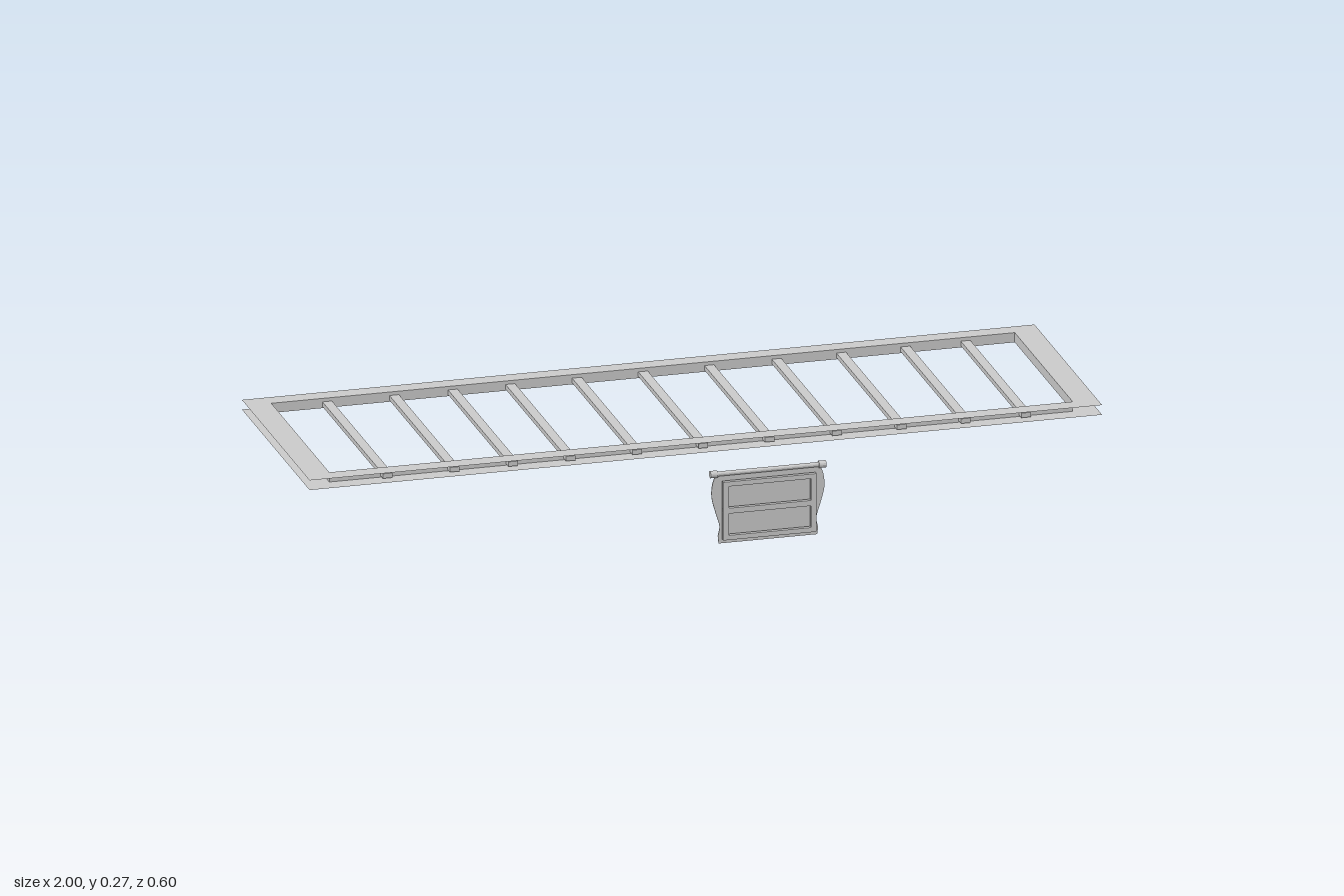
import * as THREE from 'three';

const grey = new THREE.MeshStandardMaterial({ color: 0xcccccc, flatShading: true, side: THREE.DoubleSide });

const part = (parent, name, geometry, x = 0, y = 0, z = 0) => {
  const mesh = new THREE.Mesh(geometry, grey);
  mesh.name = name;
  mesh.position.set(x, y, z);
  parent.add(mesh);
  return mesh;
};
const box = (parent, name, w, h, d, x, y, z) => part(parent, name, new THREE.BoxGeometry(w, h, d), x, y, z);

// Rectangle centred on the origin, as a shape or a hole
const rect = (Type, hx, hy) => new Type([[-hx, -hy], [hx, -hy], [hx, hy], [-hx, hy]].map(p => new THREE.Vector2(...p)));

function buildLadderFrame() {
  const frame = new THREE.Group();
  frame.name = 'ladderFrame';
  const top = 0.277, bottom = 0.252, hx = 0.938, hz = 0.259;

  // Thin flanges above and below
  for (const [name, y] of [['upperFlange', top], ['lowerFlange', bottom]]) {
    const shape = rect(THREE.Shape, 1, 0.302);
    shape.holes.push(rect(THREE.Path, hx, hz));
    part(frame, name, new THREE.ShapeGeometry(shape).rotateX(-Math.PI / 2), 0, y, 0);
  }

  // Upright web joining the flanges along the opening
  const h = top - bottom, mid = (top + bottom) / 2;
  for (const s of [-1, 1]) {
    part(frame, 'sideWeb', new THREE.PlaneGeometry(2 * hx, h).rotateY(s > 0 ? 0 : Math.PI), 0, mid, s * hz);
    part(frame, 'endWeb', new THREE.PlaneGeometry(2 * hz, h).rotateY(s * Math.PI / 2), s * hx, mid, 0);
  }

  // Rungs, their ends passing through the webs
  for (const x of [-0.797, -0.628, -0.48, -0.335, -0.167, 0, 0.167, 0.337, 0.5, 0.662, 0.814])
    box(frame, 'rung', 0.024, 0.012, 0.562, x, 0.262, 0);
  return frame;
}

function buildHangingPanel() {
  const panel = new THREE.Group();
  panel.name = 'hangingPanel';
  const cx = 0.163;
  panel.position.x = cx;

  // Rod with end knobs
  const rod = (name, r, len, x) =>
    part(panel, name, new THREE.CylinderGeometry(r, r, len, 12).rotateZ(Math.PI / 2), x, 0.185, 0.279);
  rod('hangingRod', 0.006, 0.28, 0);
  for (const s of [-1, 1]) rod('rodKnob', 0.009, 0.018, s * 0.137);

  // Backing sheet with bulging, waisted sides
  const side = new THREE.SplineCurve([
    [0.124, 0.006], [0.126, 0.025], [0.122, 0.05], [0.132, 0.085], [0.142, 0.125], [0.14, 0.16], [0.13, 0.185],
  ].map(p => new THREE.Vector2(...p))).getPoints(24);
  const outline = [...side, ...side.map(p => new THREE.Vector2(-p.x, p.y)).reverse()];
  const sheet = new THREE.ExtrudeGeometry(new THREE.Shape(outline), { depth: 0.003, bevelEnabled: false });
  part(panel, 'backingSheet', sheet, 0, 0, 0.2775);

  // Window frame in front of the sheet
  const z = 0.293, depth = 0.0105, halfW = 0.118, post = 0.014;
  for (const s of [-1, 1]) {
    // Posts are pierced where the hollow middle rail meets them
    const profile = rect(THREE.Shape, depth / 2, 0.075);
    profile.holes.push(rect(THREE.Path, 0.0025, 0.0045));
    const g = new THREE.ExtrudeGeometry(profile, { depth: post, bevelEnabled: false });
    g.translate(0, 0, -post / 2).rotateY(Math.PI / 2);
    part(panel, 'framePost', g, s * (halfW - post / 2), 0.094, z);
    box(panel, 'frameRail', 2 * (halfW - post), 0.012, depth, 0, 0.094 + s * 0.069, z);
  }
  const rail = rect(THREE.Shape, depth / 2, 0.007);
  rail.holes.push(rect(THREE.Path, 0.0025, 0.0045));
  const length = 2 * (halfW - post);
  const railGeometry = new THREE.ExtrudeGeometry(rail, { depth: length, bevelEnabled: false });
  railGeometry.translate(0, 0, -length / 2).rotateY(Math.PI / 2);
  part(panel, 'middleRail', railGeometry, 0, 0.094, z);
  return panel;
}

export function createModel() {
  const model = new THREE.Group();
  model.name = 'rungFrameWithPanel';
  model.add(buildLadderFrame(), buildHangingPanel());
  return model;
}
